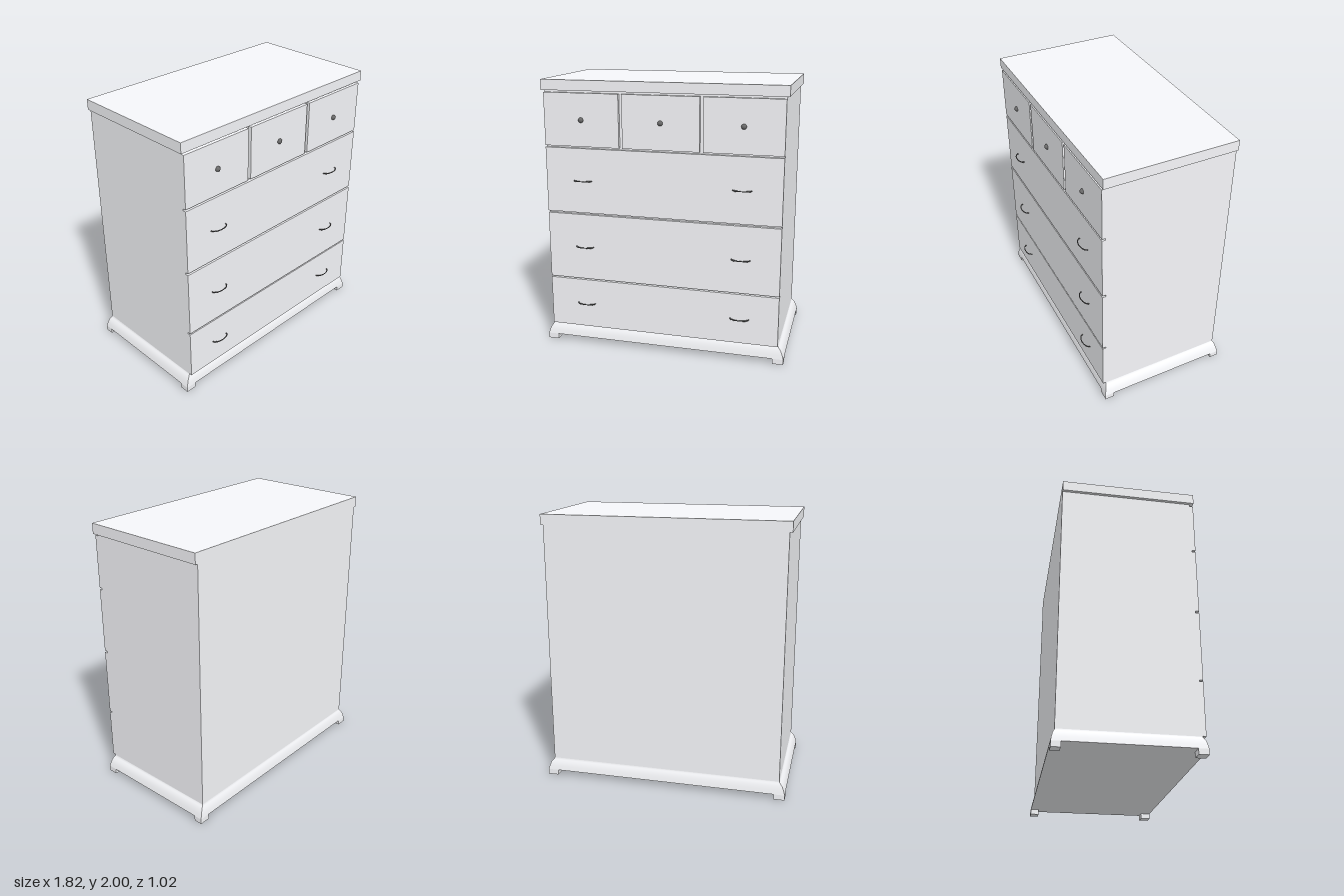
import * as THREE from 'three';
import { toCreasedNormals } from 'three/addons/utils/BufferGeometryUtils.js';

const paint = new THREE.MeshStandardMaterial({ color: 0xf6f7fa });
const metal = new THREE.MeshStandardMaterial({ color: 0x6b6b6b });

export function createModel() {
  const group = new THREE.Group();

  const add = (name, geometry, material, x = 0, y = 0, z = 0) => {
    const mesh = new THREE.Mesh(geometry, material);
    mesh.name = name;
    mesh.position.set(x, y, z);
    group.add(mesh);
  };

  // Painted box given by its limits on each axis
  const box = (name, x0, x1, y0, y1, z0, z1) =>
    add(name, new THREE.BoxGeometry(x1 - x0, y1 - y0, z1 - z0), paint,
      (x0 + x1) / 2, (y0 + y1) / 2, (z0 + z1) / 2);

  const W = 0.867, BACK = -0.485, INNER = 0.45, FRONT = 0.475;

  // Carcass and top board, flush at the back
  box('carcass', -W, W, 0.13, 1.925, BACK, INNER);
  box('topBoard', -0.887, 0.887, 1.925, 2, BACK, FRONT);

  // Flared plinth and its four feet
  add('plinth', plinthGeometry(W, BACK, INNER), paint);
  for (const [x0, x1] of [[-0.912, -0.833], [0.833, 0.912]]) {
    box('foot', x0, x1, 0, 0.039, 0.405, FRONT);
    box('foot', x0, x1, 0, 0.039, -0.51, -0.447);
  }

  // Three small drawers with round knobs
  for (const [x0, x1] of [[-W, -0.305], [-0.28, 0.28], [0.305, W]]) {
    box('smallDrawer', x0, x1, 1.527, 1.91, INNER - 0.01, FRONT);
    add('knob', new THREE.SphereGeometry(0.019, 20, 14), metal, (x0 + x1) / 2, 1.718, FRONT);
  }

  // Three wide drawers, each with a pair of bow handles
  const handle = handleGeometry();
  for (const [y0, y1, hy] of [[1.035, 1.514, 1.277], [0.521, 1.021, 0.773], [0.135, 0.511, 0.323]]) {
    box('wideDrawer', -W, W, y0, y1, INNER - 0.01, FRONT);
    for (const s of [-1, 1]) add('handle', handle, metal, s * 0.585, hy, FRONT);
  }
  return group;
}

// Rectangular loops that spread outwards towards the bottom
function plinthGeometry(w, back, front) {
  // [height, spread from 0 to 1]
  const profile = [[0.039, 1], [0.07, 0.8], [0.1, 0.52], [0.118, 0.2], [0.127, 0.03], [0.132, 0]];
  const pos = [], index = [];
  for (const [y, f] of profile) {
    const x = w + 0.045 * f, z1 = front + 0.025 * f, z0 = back - 0.025 * f;
    pos.push(-x, y, z1, x, y, z1, x, y, z0, -x, y, z0);
  }
  for (let r = 0; r < profile.length - 1; r++) {
    for (let i = 0; i < 4; i++) {
      const a = r * 4 + i, b = r * 4 + (i + 1) % 4;
      index.push(a, b, b + 4, a, b + 4, a + 4);
    }
  }
  const t = (profile.length - 1) * 4;
  index.push(0, 2, 1, 0, 3, 2, t, t + 1, t + 2, t, t + 2, t + 3);
  const geometry = new THREE.BufferGeometry();
  geometry.setAttribute('position', new THREE.Float32BufferAttribute(pos, 3));
  geometry.setIndex(index);
  return toCreasedNormals(geometry, 0.7);
}

// Half-ellipse bow, slimmer in the middle than towards its ends
function handleGeometry() {
  const points = [];
  for (let i = 0; i <= 16; i++) {
    const a = Math.PI * i / 16;
    points.push(new THREE.Vector3(0.067 * Math.cos(a), 0, 0.035 * Math.sin(a)));
  }
  const geometry = new THREE.TubeGeometry(new THREE.CatmullRomCurve3(points), 32, 0.004, 8);
  const p = geometry.attributes.position;
  for (let i = 0; i < p.count; i++) {
    const u = Math.abs(p.getX(i)) / 0.07;
    p.setY(i, p.getY(i) * (0.8 + 0.6 * Math.sin(Math.PI * Math.min(1, u * u))));
  }
  geometry.computeVertexNormals();
  return geometry;
}
